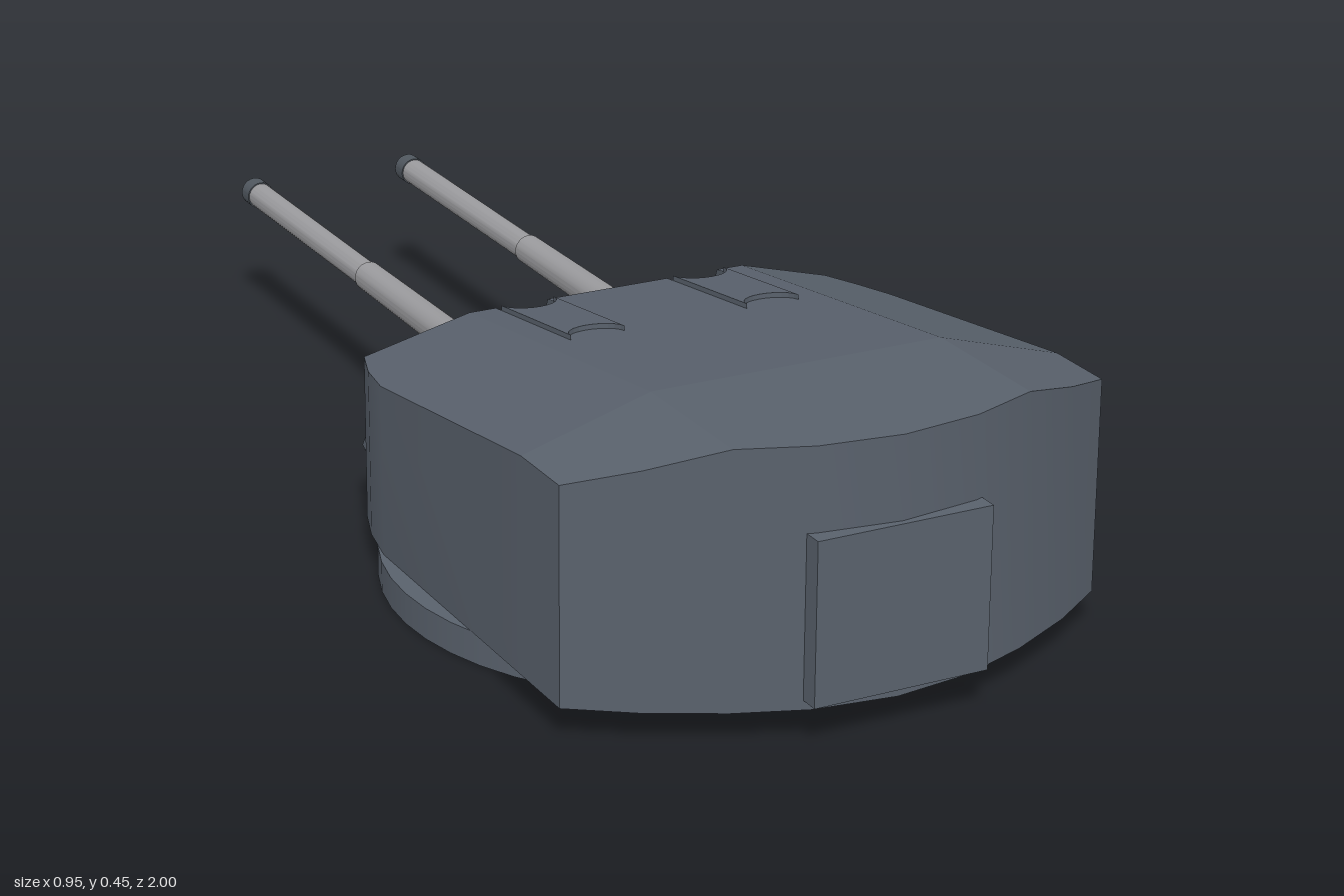
import * as THREE from 'three';
import { toCreasedNormals } from 'three/addons/utils/BufferGeometryUtils.js';

const paint = (name, color, side = THREE.FrontSide) => {
  const m = new THREE.MeshStandardMaterial({ color, side });
  m.name = name;
  return m;
};

export function createModel() {
  const hull = paint('hull grey', 0x59616c, THREE.DoubleSide);
  const mountGrey = paint('mount grey', 0x50575f);
  const steel = paint('barrel steel', 0x9b9b9e);
  const black = paint('opening black', 0x0c0c0c);
  const root = new THREE.Group();
  root.name = 'gunTurret';
  const add = (name, geo, mat, parent = root) => {
    const m = new THREE.Mesh(geo, mat);
    m.name = name;
    parent.add(m);
    return m;
  };

  // Surfaces of the gunhouse as height rules over the plan
  const slope = 0.15 / 0.32;
  const frontY = (x, z) => 0.05 + (z + 0.06) / slope;
  const frontZ = (y) => -0.06 + (y - 0.05) * slope;
  const roofY = (x, z) =>
    Math.min(0.45, 0.37 + (z - 0.09) * 0.08 / 0.6) - Math.max(0, Math.abs(x) - 0.24) * 0.06 / 0.205;

  // Flat plan shape [x, z] lifted onto a surface, optionally with thickness
  const panel = (pts, lift, thick = 0) => {
    const shape = new THREE.Shape(pts.map(([x, z]) => new THREE.Vector2(x, -z)));
    const g = thick
      ? new THREE.ExtrudeGeometry(shape, { depth: thick, bevelEnabled: false })
      : new THREE.ShapeGeometry(shape);
    const p = g.attributes.position;
    for (let i = 0; i < p.count; i++) {
      const x = p.getX(i), z = -p.getY(i);
      p.setXYZ(i, x, lift(x, z) + p.getZ(i), z);
    }
    g.computeVertexNormals();
    return g;
  };
  // Rounded end, from -x to +x
  const arc = (cx, z, rz, r = 0.045) => Array.from({ length: 13 }, (_, i) => {
    const a = Math.PI * (1 - i / 12);
    return [cx + r * Math.cos(a), z + rz * Math.sin(a)];
  });
  // Gun slot cut from the edge between front plate and roof
  const notch = (cx, z, rz) => [[cx - 0.045, 0.09], ...arc(cx, z, rz), [cx + 0.045, 0.09]];
  const edge = (z, rz) => [...notch(-0.15, z, rz), ...notch(0.15, z, rz)];

  // Half plan of the walls, front to rear
  const half = [[0.33, -0.06], [0.37, 0], [0.408, 0.065], [0.43, 0.13], [0.445, 0.21], [0.445, 0.69],
    [0.445, 0.81], [0.35, 0.875], [0.24, 0.932], [0.13, 0.973], [0, 0.99]];
  const plan = [...half, ...half.slice(0, -1).reverse().map(([x, z]) => [-x, z])];

  // Side and rear walls
  const body = new THREE.Group();
  body.name = 'gunhouse';
  root.add(body);
  const pos = [];
  const top = ([x, z]) => [x, Math.min(roofY(x, z), frontY(x, z)), z];
  const foot = ([x, z]) => [x, 0.05, z];
  for (let i = 0; i < plan.length - 1; i++) {
    const a = plan[i], b = plan[i + 1];
    pos.push(...foot(a), ...top(a), ...top(b), ...foot(a), ...top(b), ...foot(b));
  }
  const walls = new THREE.BufferGeometry();
  walls.setAttribute('position', new THREE.Float32BufferAttribute(pos, 3));
  add('walls', toCreasedNormals(walls, 0.5), hull, body);

  // Floor
  const floor = new THREE.ShapeGeometry(new THREE.Shape(plan.map(([x, z]) => new THREE.Vector2(x, z))));
  add('floor', floor.rotateX(Math.PI / 2).translate(0, 0.05, 0), hull, body);

  // Sloped front plate with gun slots
  add('frontPlate', panel([[-0.33, -0.06], [-0.37, 0], [-0.408, 0.065], [-0.24, 0.09],
    ...edge(0.025, -0.022), [0.24, 0.09], [0.408, 0.065], [0.37, 0], [0.33, -0.06]], frontY), hull, body);

  // Roof: sloped middle, level rear and angled sides
  add('roofFront', panel([[-0.24, 0.09], ...edge(0.105, 0.045), [0.24, 0.09], [0.24, 0.69], [-0.24, 0.69]],
    roofY), hull, body);
  add('roofRear', panel([[-0.24, 0.69], [0.24, 0.69], [0.24, 0.932], [0.13, 0.973], [0, 0.99],
    [-0.13, 0.973], [-0.24, 0.932]], roofY), hull, body);
  for (const s of [-1, 1]) {
    const flip = (pts) => pts.map(([x, z]) => [s * x, z]);
    add('roofSideFront', panel(flip([[0.24, 0.09], ...half.slice(2, 6), [0.24, 0.69]]), roofY), hull, body);
    add('roofSideRear', panel(flip([[0.24, 0.69], ...half.slice(5, 9)]), roofY), hull, body);
  }

  // Dark interior behind the slots
  const inside = new THREE.Shape([[-0.01, 0.1], [-0.115, 0.325], [-0.3, 0.345], [-0.3, 0.1]]
    .map(([a, y]) => new THREE.Vector2(a, y)));
  add('interior', new THREE.ExtrudeGeometry(inside, { depth: 0.46, bevelEnabled: false })
    .translate(0, 0, -0.23).rotateY(Math.PI / 2), black);

  // Turning ring and rear door
  add('baseRing', new THREE.CylinderGeometry(0.475, 0.475, 0.05, 48).translate(0, 0.025, 0.355), hull);
  add('rearDoor', new THREE.BoxGeometry(0.284, 0.255, 0.1).translate(0, 0.1925, 0.95), hull);

  // Part lying on the sloped front plate
  const onFront = (name, w, h, d, x, y, mat, tilt = 0) => {
    const m = add(name, new THREE.BoxGeometry(w, h, d), mat);
    m.position.set(x, y, frontZ(y));
    m.rotation.x = Math.atan(slope) + tilt;
  };
  onFront('centreSight', 0.045, 0.045, 0.03, 0, 0.3, hull);

  // Gun profiles: radius, distance ahead of z = 0
  const lathe = (pts) => toCreasedNormals(
    new THREE.LatheGeometry(pts.map(([r, d]) => new THREE.Vector2(r, d)), 24).rotateX(-Math.PI / 2), 0.5);

  for (const s of [-1, 1]) {
    // Sighting port with its opened flap
    onFront('sightPort', 0.07, 0.078, 0.009, s * 0.328, 0.222, black);
    onFront('portFlap', 0.08, 0.06, 0.012, s * 0.33, 0.15, hull, 0.15);

    // Thin cover on the roof behind the slot
    add('slotCover', panel([...arc(s * 0.15, 0.11, 0.045), ...arc(s * 0.15, 0.35, -0.042).reverse()],
      roofY, 0.008), hull);

    // Gun
    const gun = new THREE.Group();
    gun.name = 'gun';
    gun.position.set(s * 0.15, 0.225, 0);
    root.add(gun);
    add('mount', lathe([[0, -0.09], [0.041, -0.09], [0.041, 0.035]]), mountGrey, gun);
    add('barrel', lathe([[0.04, 0.03], [0.04, 0.11], [0.027, 0.165], [0.025, 0.5], [0.022, 0.5],
      [0.022, 0.97]]), steel, gun);
    add('muzzle', lathe([[0.022, 0.97], [0.024, 0.97], [0.024, 1], [0.014, 1], [0.014, 0.96]]), mountGrey, gun);
    add('bore', new THREE.CircleGeometry(0.014, 24).rotateY(Math.PI).translate(0, 0, -0.972), black, gun);
  }
  return root;
}
